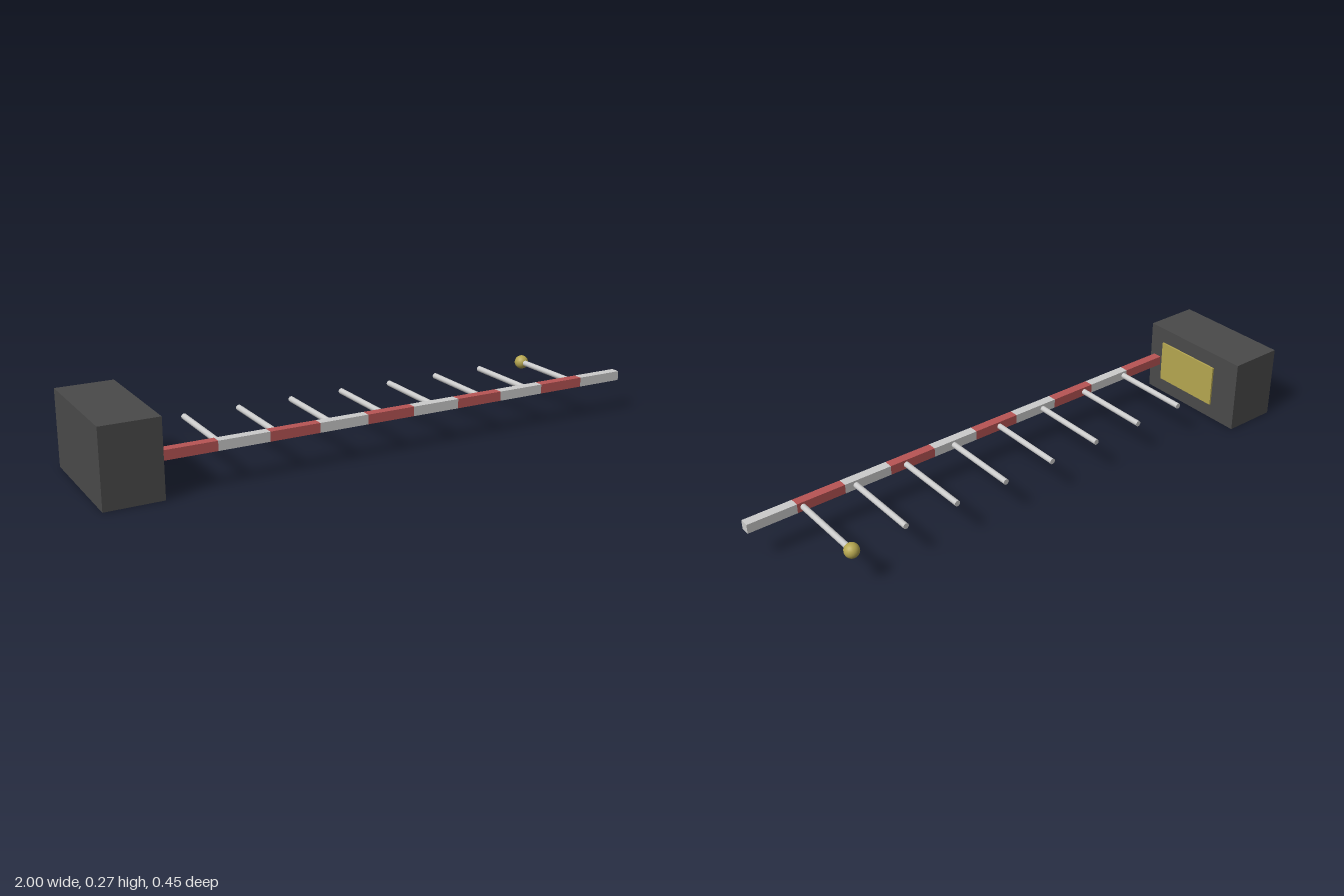
import * as THREE from 'three';

const material = (color) => new THREE.MeshStandardMaterial({ color });

export function createModel() {
  const group = new THREE.Group();
  const grey = material(0xcccccc);
  const red = material(0xb85555);
  const dark = material(0x4a4a4a);
  const gold = material(0xb5a650);
  const axisY = 0.135;

  function add(name, geometry, mat, x, y, z) {
    const mesh = new THREE.Mesh(geometry, mat);
    mesh.name = name;
    mesh.position.set(x, y, z);
    group.add(mesh);
    return mesh;
  }

  // Base block with its inset-coloured plate on the inner side
  add('baseBlock', new THREE.BoxGeometry(0.2, 0.27, 0.448), dark, -0.9, 0.135, 0);
  add('basePlate', new THREE.BoxGeometry(0.012, 0.156, 0.268), gold, -0.799, axisY, 0.024);

  // Striped boom, alternating red and grey sections
  const count = 10, start = -0.79, step = (1 - start) / count;
  const section = new THREE.BoxGeometry(step, 0.034, 0.034);
  for (let i = 0; i < count; i++) {
    add(i % 2 ? 'boomGreySection' : 'boomRedSection', section, i % 2 ? grey : red,
      start + step * (i + 0.5), axisY, 0.179);
  }

  // Row of rods reaching back from the boom
  const rodFront = 0.165, rodBack = -0.135;
  const rod = new THREE.CylinderGeometry(0.0105, 0.0105, rodFront - rodBack, 12);
  rod.rotateX(Math.PI / 2);
  for (let i = 0; i < 8; i++) {
    add('rod', rod, grey, -0.595 + i * 0.1993, axisY, (rodFront + rodBack) / 2);
  }

  // Ball on the end of the last rod
  add('endBall', new THREE.SphereGeometry(0.026, 20, 14), gold, 0.8, axisY, rodBack);

  return group;
}
